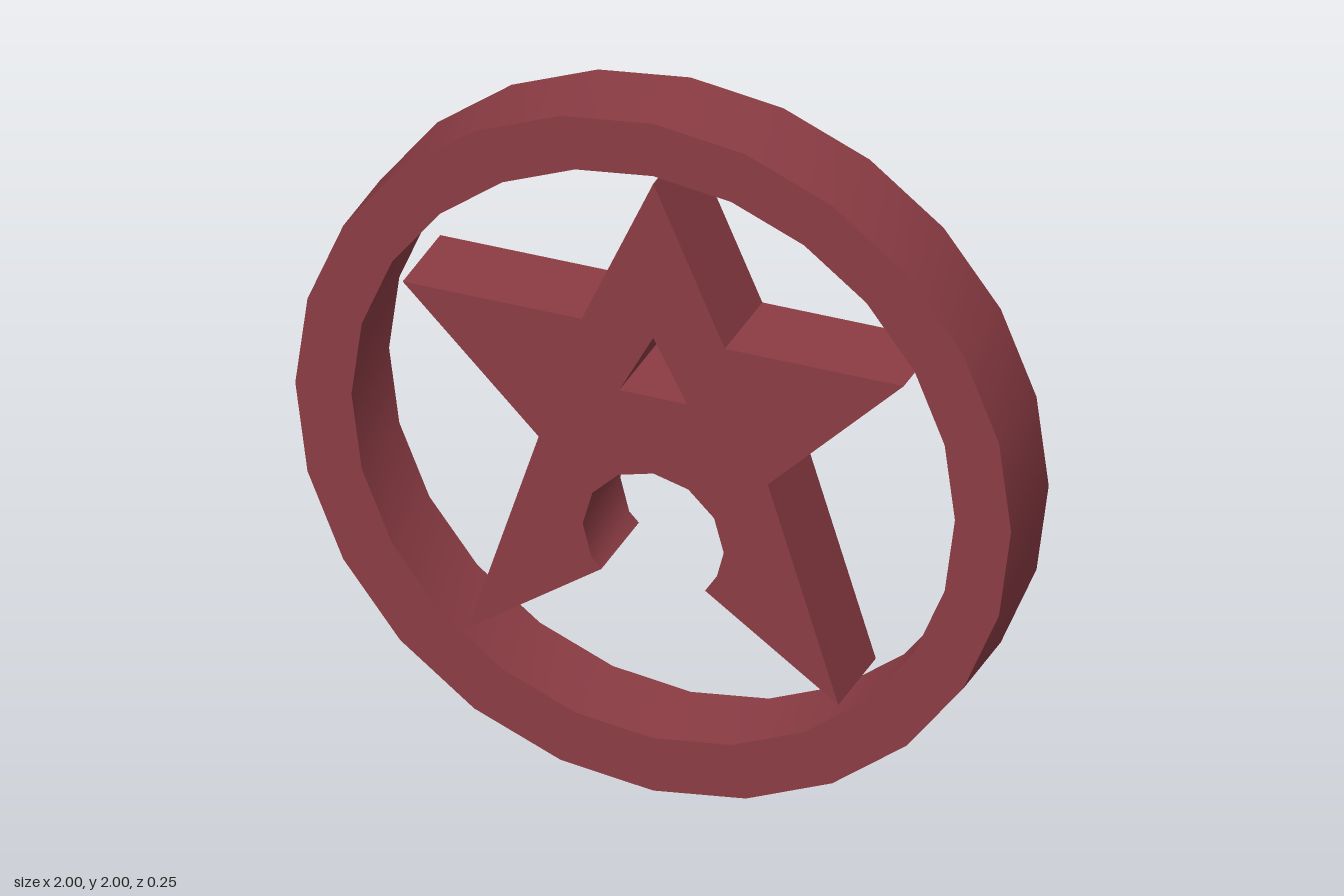
import * as THREE from 'three';
import { toCreasedNormals } from 'three/addons/utils/BufferGeometryUtils.js';

const DEPTH = 0.255;

// Regular polygon points around the origin
const circle = (r, n) => Array.from({ length: n }, (_, i) => {
  const a = (i / n) * Math.PI * 2;
  return new THREE.Vector2(r * Math.cos(a), r * Math.sin(a));
});
const toPoints = (list) => list.map(([x, y]) => new THREE.Vector2(x, y));

// Extrude a flat outline, centred on z, smooth along gentle curves only
function plate(name, outline, hole, material) {
  const shape = new THREE.Shape(outline);
  shape.holes.push(new THREE.Path(hole));
  const geometry = new THREE.ExtrudeGeometry(shape, { depth: DEPTH, bevelEnabled: false });
  geometry.translate(0, 0, -DEPTH / 2);
  const mesh = new THREE.Mesh(toCreasedNormals(geometry, 0.7), material);
  mesh.name = name;
  return mesh;
}

export function createModel() {
  const model = new THREE.Group();
  model.name = 'starEmblem';
  const red = new THREE.MeshStandardMaterial({ color: 0x8c3c44 });
  red.name = 'dull red';

  // Outer hoop with 24 sides
  const ring = plate('ring', circle(1, 24), circle(0.843, 24), red);
  ring.position.y = 1;
  model.add(ring);

  // Right half of the star, from the top tip down to the arch crown
  const half = [
    [0.2, 1.37], [0.7, 1.37], [0.32, 0.99], [0.517, 0.373],
    [0.145, 0.632], [0.172, 0.66], [0.197, 0.757], [0.17, 0.855], [0.098, 0.925],
  ];
  const mirrored = half.map(([x, y]) => [-x, y]).reverse();
  const outline = toPoints([[0, 1.82], ...half, [0, 0.951], ...mirrored]);

  // Star with a small triangular window
  const triangle = toPoints([[0, 1.358], [-0.095, 1.18], [0.095, 1.18]]);
  model.add(plate('star', outline, triangle, red));

  return model;
}
